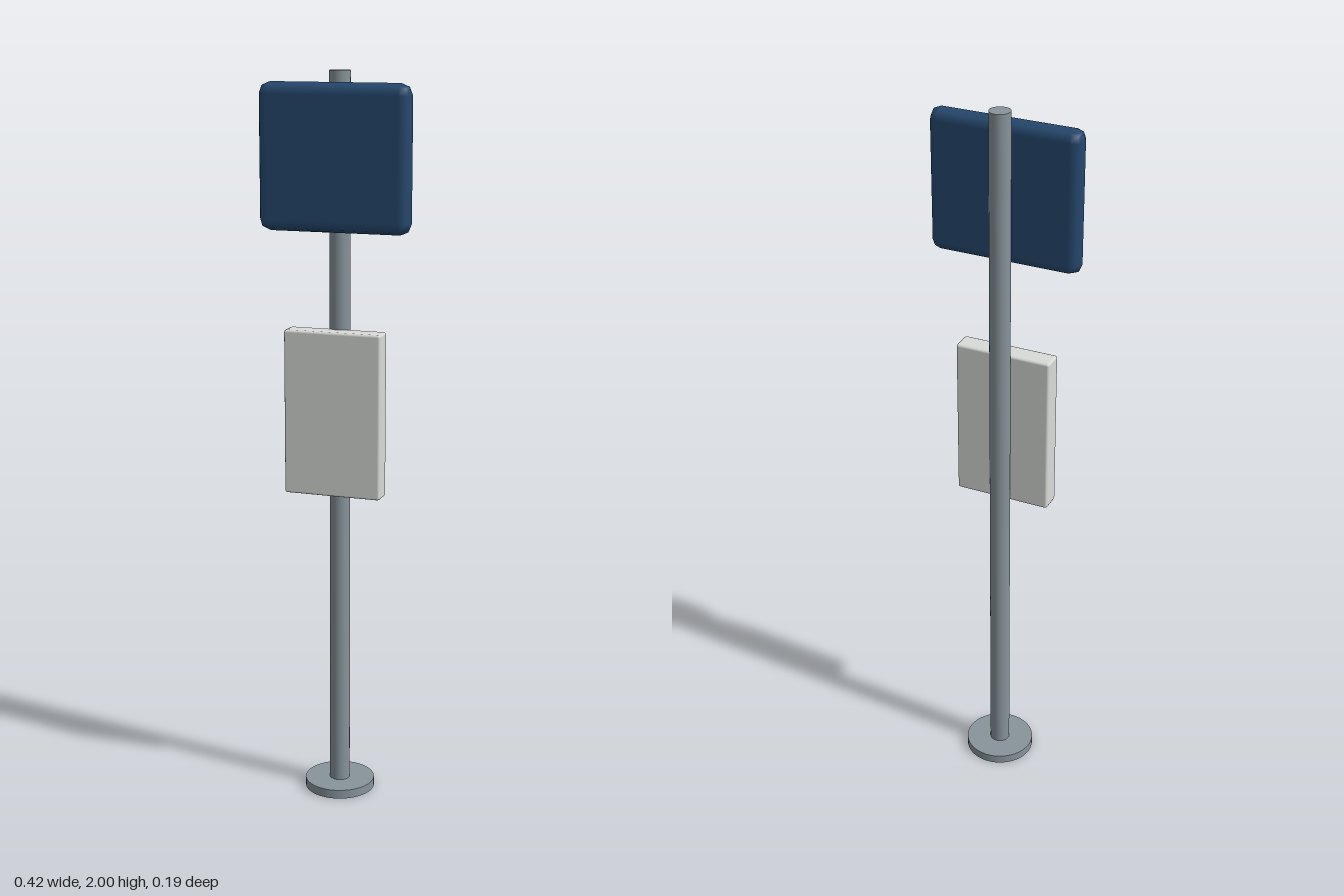
import * as THREE from 'three';
import { RoundedBoxGeometry } from 'three/addons/geometries/RoundedBoxGeometry.js';

const material = (name, color) => {
  const m = new THREE.MeshStandardMaterial({ color });
  m.name = name;
  return m;
};

export function createModel() {
  const steel = material('steel grey', 0x87949b);
  const blue = material('sign blue', 0x26496f);
  const white = material('panel off-white', 0xd8dbd8);

  const group = new THREE.Group();
  group.name = 'stopSign';
  const add = (name, geometry, mat, y, z = 0) => {
    const mesh = new THREE.Mesh(geometry, mat);
    mesh.name = name;
    mesh.position.set(0, y, z);
    group.add(mesh);
  };

  // Round foot and full-height pole
  add('base', new THREE.CylinderGeometry(0.097, 0.097, 0.025, 48), steel, 0.0125);
  add('pole', new THREE.CylinderGeometry(0.028, 0.028, 2, 32), steel, 1);

  // Sign with fully rounded rim, mounted on the front of the pole
  add('signBoard', new RoundedBoxGeometry(0.418, 0.386, 0.062, 1, 0.031), blue, 1.778, 0.041);

  // Timetable case with slightly softened edges
  add('timetablePanel', new RoundedBoxGeometry(0.27, 0.45, 0.06, 1, 0.007), white, 1.1, 0.042);

  return group;
}
